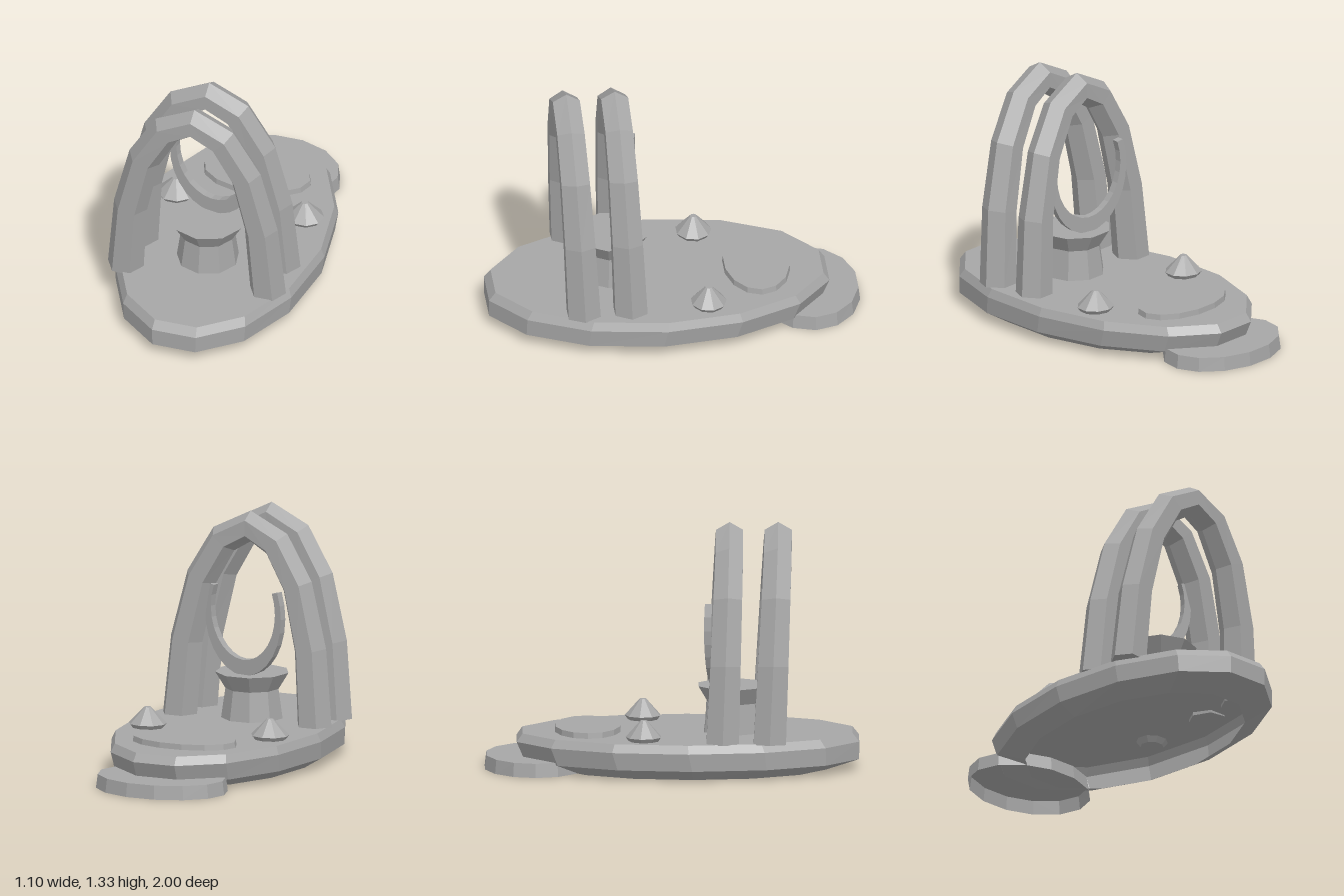
import * as THREE from 'three';

const stone = new THREE.MeshStandardMaterial({ color: 0xa6a6a6, flatShading: true, side: THREE.DoubleSide });
stone.name = 'grey stone';

// Horizontal polygon ring; half = true puts a flat side to the front
function ring(n, y, cx, cz, rx, rz, half = true) {
  return Array.from({ length: n }, (_, i) => {
    const a = ((i + (half ? 0.5 : 0)) / n) * Math.PI * 2;
    return new THREE.Vector3(cx + rx * Math.sin(a), y, cz + rz * Math.cos(a));
  });
}

// Skin joining rings of equal point count, with optional end caps
function loft(rings, capStart, capEnd) {
  const n = rings[0].length;
  const pos = [];
  const idx = [];
  rings.forEach((r) => r.forEach((p) => pos.push(p.x, p.y, p.z)));
  for (let k = 0; k < rings.length - 1; k++) {
    for (let i = 0; i < n; i++) {
      const a = k * n + i, b = k * n + ((i + 1) % n);
      idx.push(a, b, b + n, a, b + n, a + n);
    }
  }
  const last = (rings.length - 1) * n;
  for (let i = 1; i < n - 1; i++) {
    if (capStart) idx.push(0, i + 1, i);
    if (capEnd) idx.push(last, last + i, last + i + 1);
  }
  const g = new THREE.BufferGeometry();
  g.setAttribute('position', new THREE.Float32BufferAttribute(pos, 3));
  g.setIndex(idx);
  g.computeVertexNormals();
  return g;
}

// Pointed arch with a hexagonal section, leaning slightly forward
function archGeometry(zFoot, zTop) {
  const half = [[-0.4, 0.19], [-0.367, 0.605], [-0.285, 0.945], [-0.157, 1.163]];
  const path = [...half, [0, 1.245], ...half.slice().reverse().map(([x, y]) => [-x, y])];
  const rings = path.map(([x, y], k) => {
    const p = path[Math.max(k - 1, 0)], q = path[Math.min(k + 1, path.length - 1)];
    const out = new THREE.Vector2(p[1] - q[1], q[0] - p[0]).normalize();
    const t = (y - 0.19) / 1.055;
    const r = 0.1 - 0.016 * t;
    const z = zFoot + (zTop - zFoot) * t;
    return Array.from({ length: 6 }, (_, i) => {
      const a = (i / 6) * Math.PI * 2;
      const c = Math.cos(a) * r;
      return new THREE.Vector3(-0.025 + x + out.x * c, y + out.y * c, z + Math.sin(a) * r);
    });
  });
  return loft(rings, true, true);
}

// Upright crescent with blunt horns
function crescentGeometry() {
  const start = Math.PI * 0.86, end = Math.PI * 2.14, steps = 18;
  const s = new THREE.Shape();
  const arc = (from, to, cy, rx, ry, first) => {
    for (let i = 0; i <= steps; i++) {
      const a = from + ((to - from) * i) / steps;
      const x = rx * Math.cos(a), y = cy + ry * Math.sin(a);
      if (first && i === 0) s.moveTo(x, y);
      else s.lineTo(x, y);
    }
  };
  arc(start, end, 0.78, 0.255, 0.335, true);
  arc(end, start, 0.8, 0.215, 0.27, false);
  s.closePath();
  const g = new THREE.ExtrudeGeometry(s, { depth: 0.04, bevelEnabled: false });
  g.translate(0, 0, -0.02);
  return g;
}

export function createModel() {
  const model = new THREE.Group();
  const add = (name, geometry) => {
    const m = new THREE.Mesh(geometry, stone);
    m.name = name;
    model.add(m);
    return m;
  };

  // Oval platform, open underneath
  add('platform', loft([
    ring(14, 0, 0, 0.11, 0.44, 0.73),
    ring(14, 0.06, 0, 0.105, 0.54, 0.918),
    ring(14, 0.155, 0, 0.085, 0.55, 0.939),
    ring(14, 0.2, 0, 0.083, 0.53, 0.905),
  ], false, true));

  // Low step behind the platform
  add('rearStep', loft([
    ring(14, 0, 0, -0.73, 0.37, 0.277),
    ring(14, 0.075, 0, -0.73, 0.36, 0.268),
  ], false, true));

  // Flat oval slab on the rear half
  add('ovalSlab', loft([
    ring(14, 0.2, 0, -0.45, 0.3, 0.18),
    ring(14, 0.23, 0, -0.45, 0.295, 0.177),
  ], false, true));

  // Pair of cone studs
  for (const side of [-1, 1]) {
    add(side > 0 ? 'leftStud' : 'rightStud', loft([
      ring(9, 0.17, side * 0.363, -0.153, 0.065, 0.06),
      ring(9, 0.222, side * 0.363, -0.153, 0.105, 0.097),
      ring(9, 0.31, side * 0.363, -0.153, 0.018, 0.018),
    ], true, true));
  }

  // Two arches
  add('frontArch', archGeometry(0.52, 0.568));
  add('rearArch', archGeometry(0.268, 0.308));

  // Flared pedestal
  add('pedestal', loft([
    ring(9, 0.2, -0.025, 0.33, 0.168, 0.168, false),
    ring(9, 0.36, -0.025, 0.33, 0.145, 0.145, false),
    ring(9, 0.45, -0.025, 0.33, 0.2, 0.2, false),
  ], true, true));

  // Crescent standing on the pedestal, turned slightly
  const crescent = add('crescent', crescentGeometry());
  crescent.position.set(-0.025, 0, 0.24);
  crescent.rotation.y = -0.2;

  return model;
}
